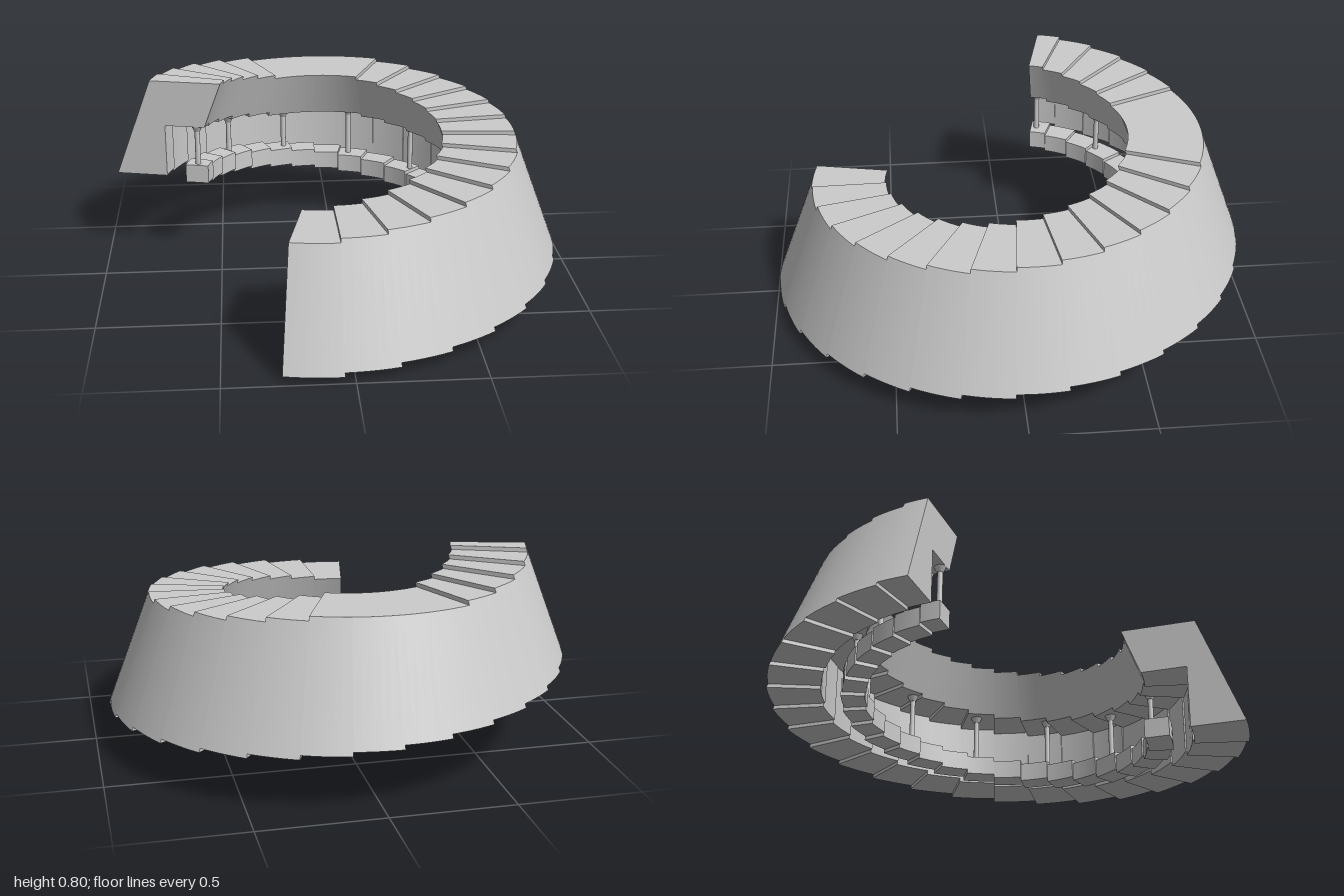
import * as THREE from 'three';
import { toCreasedNormals } from 'three/addons/utils/BufferGeometryUtils.js';

const CX = -0.06, CZ = -0.043;            // axis of the spiral
const STEPS = 23, LANDING = 14;           // four slices from LANDING share one level
const rad = THREE.MathUtils.degToRad;
const material = new THREE.MeshStandardMaterial({ color: 0xcccccc });

// Angle (degrees from the front) at which slice i begins
function angleAt(i) {
  if (i === 0) return -11.8;
  return Math.min(257, i <= LANDING ? -11 + 12 * i : 157 + 11.5 * (i - LANDING));
}
// Battered outer face: radius shrinks with height
const coneRadius = (y) => 1.05 - 0.38 * y;
const topAt = (i) => 0.487 + 0.0163 * (i < LANDING ? i : i < LANDING + 4 ? LANDING : i - 3)
  + (i > 17 ? 0.0008 * (i - 17) : 0);
const ceilingAt = (i) => topAt(i) - 0.2;
const curbBottom = (i) => 0.0157 * i;

// Sweep a (radius, height) profile around the axis between two angles
function sweep(points, a0, a1) {
  const shape = new THREE.Shape(points.map(([r, y]) => new THREE.Vector2(r, y)));
  const geo = new THREE.ExtrudeGeometry(shape, { depth: 1, steps: 5, bevelEnabled: false });
  const p = geo.attributes.position;
  for (let k = 0; k < p.count; k++) {
    const a = rad(a1 - p.getZ(k) * (a1 - a0)), r = p.getX(k);
    p.setXYZ(k, CX + r * Math.sin(a), p.getY(k), CZ + r * Math.cos(a));
  }
  return toCreasedNormals(geo, 0.3);
}

function add(group, name, geo) {
  const mesh = new THREE.Mesh(geo, material);
  mesh.name = name;
  group.add(mesh);
  return mesh;
}

export function createModel() {
  const model = new THREE.Group();
  model.name = 'spiralStair';
  const stairs = new THREE.Group();
  stairs.name = 'stairs';
  const curbs = new THREE.Group();
  curbs.name = 'galleryCurb';
  const columns = new THREE.Group();
  columns.name = 'galleryColumns';
  model.add(stairs, curbs, columns);

  for (let i = 0; i < STEPS; i++) {
    const a0 = angleAt(i), a1 = angleAt(i + 1);
    const top = topAt(i), ceiling = ceilingAt(i), bottom = 0.025 + 0.0157 * i;
    const wall = 0.82 - 0.0061 * i;

    // Tread, overhang and outer wall in one slice
    add(stairs, 'step', sweep([
      [wall, bottom], [coneRadius(bottom), bottom], [coneRadius(top), top],
      [coneRadius(top) - 0.31, top], [coneRadius(ceiling) - 0.31, ceiling], [wall, ceiling],
    ], a0, a1));

    // Low curb on the open inner side
    const outer = 0.735 - 0.0061 * i, low = curbBottom(i);
    add(curbs, 'curb', sweep([
      [outer - 0.1, low], [outer, low], [outer, low + 0.08], [outer - 0.1, low + 0.08],
    ], a0, a1));
  }

  // Columns with small capitals, from curb to ceiling
  for (let a = 14.5; a < 257; a += 30) {
    let i = 0;
    while (angleAt(i + 1) < a) i++;
    const base = curbBottom(i) + 0.08, height = ceilingAt(i) - base;
    const column = new THREE.Group();
    column.name = 'column';
    const r = 0.685 - 0.0061 * i;
    column.position.set(CX + r * Math.sin(rad(a)), base, CZ + r * Math.cos(rad(a)));
    add(column, 'shaft', new THREE.CylinderGeometry(0.011, 0.012, height, 12)).position.y = height / 2;
    add(column, 'capital', new THREE.CylinderGeometry(0.025, 0.013, 0.025, 12)).position.y = height - 0.0125;
    columns.add(column);
  }
  return model;
}
